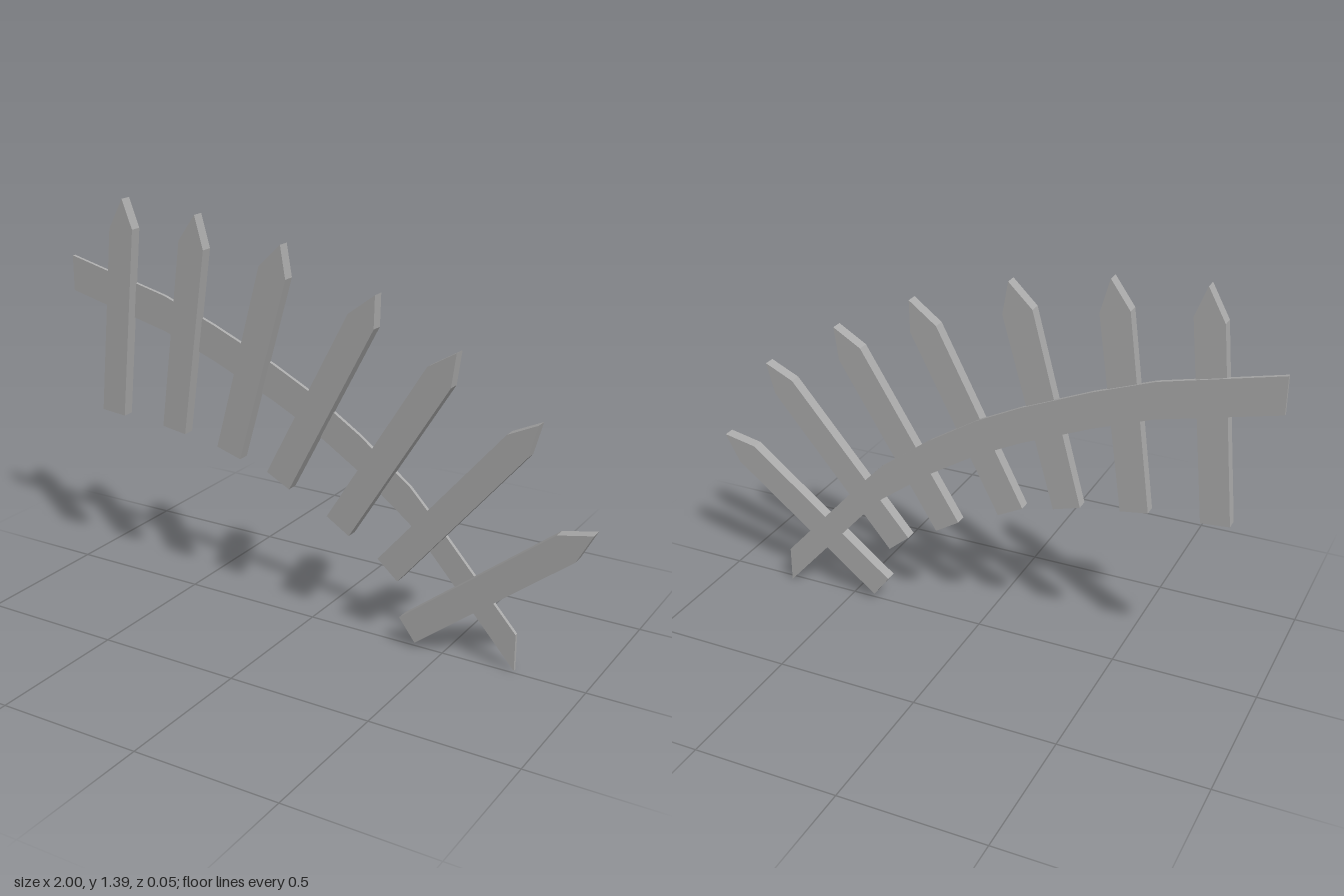
import * as THREE from 'three';

// Extrude an outline of [x, y] points from zBack to zFront
function plank(points, zBack, zFront, material, name) {
  const shape = new THREE.Shape(points.map(([x, y]) => new THREE.Vector2(x, y)));
  const geometry = new THREE.ExtrudeGeometry(shape, { depth: zFront - zBack, bevelEnabled: false });
  geometry.translate(0, 0, zBack);
  const mesh = new THREE.Mesh(geometry, material);
  mesh.name = name;
  return mesh;
}

export function createModel() {
  const group = new THREE.Group();
  group.name = 'picketFence';
  const grey = new THREE.MeshStandardMaterial({ color: 0xaaaaaa });
  grey.name = 'weathered grey';

  // Pickets fan out: bottom left, bottom right, right shoulder, tip, left shoulder
  const pickets = [
    [[-0.866, 0.615], [-0.77, 0.607], [-0.702, 1.286], [-0.741, 1.388], [-0.8, 1.28]],
    [[-0.599, 0.6], [-0.505, 0.586], [-0.409, 1.249], [-0.441, 1.364], [-0.508, 1.27]],
    [[-0.369, 0.566], [-0.275, 0.538], [-0.088, 1.19], [-0.107, 1.302], [-0.19, 1.222]],
    [[-0.166, 0.514], [-0.078, 0.468], [0.238, 1.072], [0.241, 1.183], [0.144, 1.11]],
    [[0.07, 0.403], [0.155, 0.35], [0.511, 0.925], [0.527, 1.04], [0.428, 0.981]],
    [[0.265, 0.294], [0.34, 0.23], [0.775, 0.749], [0.805, 0.858], [0.703, 0.81]],
    [[0.35, 0.102], [0.409, 0.024], [0.947, 0.444], [1.0, 0.543], [0.882, 0.519]],
  ];
  pickets.forEach((p, i) => group.add(plank(p, -0.017, 0.024, grey, `picket${i + 1}`)));

  // Curved rail behind the pickets, of constant upright height
  const top = [[-1, 1.156], [-0.602, 1.061], [-0.4, 0.987], [-0.16, 0.885], [0, 0.805],
    [0.17, 0.698], [0.36, 0.556], [0.45, 0.462], [0.751, 0.129]];
  const bottom = top.map(([x, y]) => [x, y - 0.126 + (x > 0.75 ? -0.003 : 0)]).reverse();
  group.add(plank([...top, ...bottom], -0.024, -0.011, grey, 'rail'));

  return group;
}
